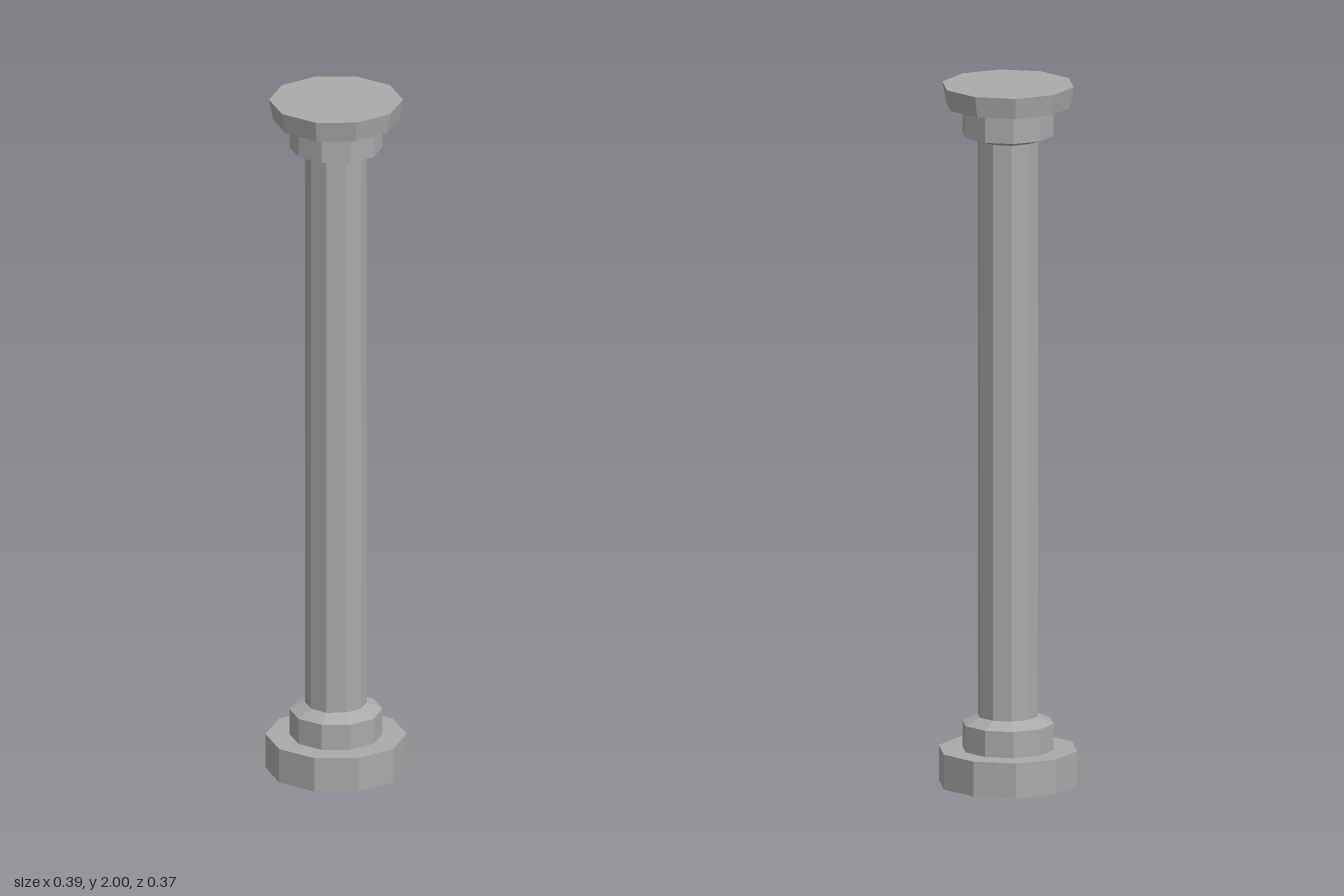
import * as THREE from 'three';

const SIDES = 10;

export function createModel() {
  const column = new THREE.Group();
  column.name = 'column';
  const stone = new THREE.MeshStandardMaterial({ color: 0xaaaaaa });
  stone.name = 'grey stone';
  stone.flatShading = true;

  // Ten-sided drum between two heights, with corners on the x axis
  function drum(name, y0, y1, r0, r1, open = false) {
    const geometry = new THREE.CylinderGeometry(r1, r0, y1 - y0, SIDES, 1, open, Math.PI / 2);
    const mesh = new THREE.Mesh(geometry, stone);
    mesh.name = name;
    mesh.position.y = (y0 + y1) / 2;
    column.add(mesh);
  }

  // Foot
  drum('base', 0, 0.1, 0.197, 0.197);
  drum('baseCollar', 0.1, 0.175, 0.13, 0.13, true);
  drum('baseBevel', 0.175, 0.195, 0.13, 0.086, true);

  // Shaft
  drum('shaft', 0.195, 1.843, 0.086, 0.086, true);

  // Head, flaring towards the top slab
  drum('capitalBevel', 1.843, 1.858, 0.086, 0.13, true);
  drum('capitalCollar', 1.858, 1.94, 0.13, 0.13, true);
  drum('capital', 1.94, 2, 0.176, 0.187);

  return column;
}
